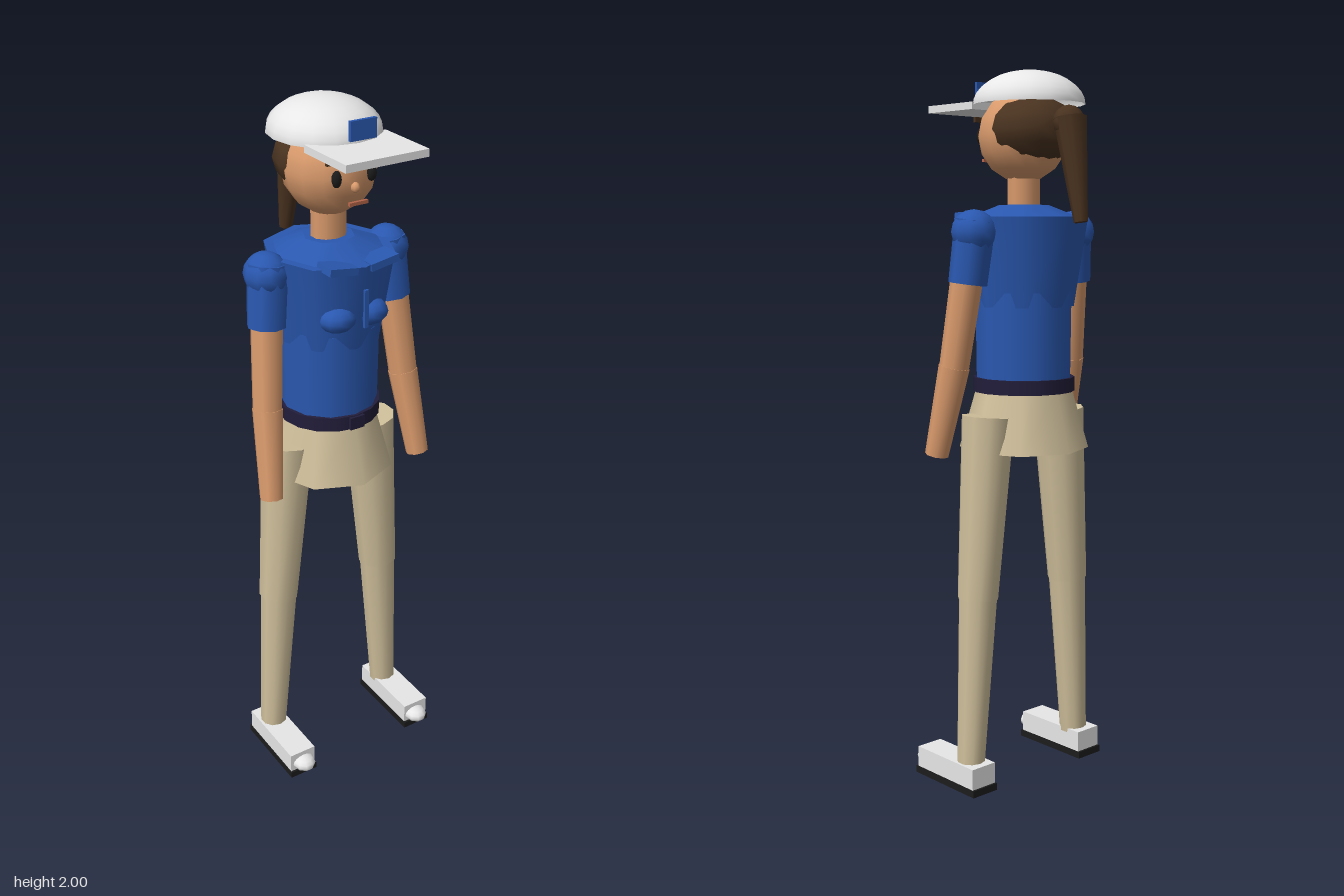
import * as THREE from 'three';

const mat = (name, color, side = THREE.FrontSide) => {
  const m = new THREE.MeshStandardMaterial({ color, side });
  m.name = name;
  return m;
};

export function createModel() {
  const white = mat('white', 0xececec, THREE.DoubleSide);
  const blue = mat('shirt blue', 0x2a58b0);
  const skin = mat('skin', 0xd99a6c);
  const khaki = mat('khaki', 0xcfbf9b);
  const hair = mat('hair brown', 0x4a3320);
  const navy = mat('belt navy', 0x221d3a);
  const black = mat('black', 0x1c1c1c);
  const lip = mat('lip', 0xb5654a);

  const model = new THREE.Group();
  model.name = 'capWearer';
  const Z = -0.013; // body axis depth

  const add = (name, geo, material, x, y, z) => {
    const mesh = new THREE.Mesh(geo, material);
    mesh.name = name;
    mesh.position.set(x, y, z);
    model.add(mesh);
    return mesh;
  };
  const box = (name, m, w, h, d, x, y, z) => add(name, new THREE.BoxGeometry(w, h, d), m, x, y, z);
  const ball = (name, m, rx, ry, rz, x, y, z, seg = 12) => {
    const b = add(name, new THREE.SphereGeometry(1, seg, 8), m, x, y, z);
    b.scale.set(rx, ry, rz);
    return b;
  };
  // upright tapered cylinder between two heights
  const drum = (name, m, rTop, rBottom, yBottom, yTop, seg = 8) =>
    add(name, new THREE.CylinderGeometry(rTop, rBottom, yTop - yBottom, seg), m, 0, (yTop + yBottom) / 2, Z);
  // tapered limb from point a (top) to point b (bottom)
  const limb = (name, m, a, b, ra, rb, seg = 8) => {
    const A = new THREE.Vector3(...a), B = new THREE.Vector3(...b);
    const mid = A.clone().add(B).multiplyScalar(0.5);
    const mesh = add(name, new THREE.CylinderGeometry(ra, rb, A.distanceTo(B), seg), m, mid.x, mid.y, mid.z);
    mesh.quaternion.setFromUnitVectors(new THREE.Vector3(0, 1, 0), A.sub(B).normalize());
    return mesh;
  };

  // trunk
  drum('hips', khaki, 0.133, 0.183, 0.96, 1.135);
  drum('belt', navy, 0.143, 0.143, 1.122, 1.162, 16);
  box('buckle', navy, 0.045, 0.036, 0.012, 0, 1.142, 0.13);
  drum('waist', blue, 0.138, 0.135, 1.14, 1.4, 12);
  drum('chest', blue, 0.178, 0.14, 1.36, 1.605);
  drum('shoulderYoke', blue, 0.07, 0.165, 1.6, 1.638);
  box('placket', blue, 0.012, 0.105, 0.008, 0, 1.492, 0.168);

  // head and neck
  drum('neck', skin, 0.05, 0.05, 1.6, 1.74, 10).scale.set(1, 1, 0.85);
  ball('head', skin, 0.126, 0.125, 0.126, 0, 1.825, -0.01, 14);
  ball('hairBack', hair, 0.129, 0.095, 0.128, 0, 1.838, -0.044);
  ball('nose', skin, 0.012, 0.014, 0.014, 0, 1.8, 0.112, 8);
  box('mouth', lip, 0.055, 0.009, 0.009, 0, 1.764, 0.126);

  // ponytail
  ball('hairTie', hair, 0.045, 0.045, 0.042, 0, 1.853, -0.188, 8);
  limb('ponytail', hair, [0, 1.865, -0.192], [0, 1.59, -0.235], 0.045, 0.019);

  // cap
  const dome = add('capDome', new THREE.SphereGeometry(1, 16, 8, 0, Math.PI * 2, 0, Math.PI / 2), white, 0, 1.908, -0.033);
  dome.scale.set(0.149, 0.092, 0.16);
  box('capVisor', white, 0.24, 0.02, 0.187, 0, 1.906, 0.16);
  box('capPatch', blue, 0.076, 0.05, 0.01, 0, 1.955, 0.143);

  // mirrored parts
  for (const s of [-1, 1]) {
    // face
    ball('eye', black, 0.014, 0.022, 0.012, s * 0.052, 1.828, 0.107, 8);
    box('eyebrow', hair, 0.052, 0.014, 0.01, s * 0.054, 1.872, 0.102);

    // shirt front
    ball('chestForm', blue, 0.052, 0.037, 0.045, s * 0.05, 1.453, 0.11, 10);
    box('collar', blue, 0.085, 0.02, 0.065, s * 0.062, 1.603, 0.13).rotation.z = s * 0.15;

    // arm
    ball('shoulder', blue, 0.06, 0.06, 0.064, s * 0.188, 1.565, -0.018, 10);
    limb('sleeve', blue, [s * 0.183, 1.595, -0.018], [s * 0.199, 1.425, -0.004], 0.056, 0.053);
    limb('upperArm', skin, [s * 0.197, 1.47, -0.005], [s * 0.222, 1.19, 0.03], 0.045, 0.041);
    limb('forearm', skin, [s * 0.221, 1.2, 0.029], [s * 0.244, 0.952, 0.08], 0.043, 0.033);

    // leg
    limb('thigh', khaki, [s * 0.135, 1.06, Z], [s * 0.176, 0.55, Z], 0.075, 0.058, 10);
    limb('shin', khaki, [s * 0.175, 0.56, Z], [s * 0.205, 0.07, Z], 0.055, 0.04, 10);

    // shoe
    box('sole', black, 0.088, 0.02, 0.255, s * 0.209, 0.01, 0.048);
    box('shoe', white, 0.083, 0.06, 0.242, s * 0.209, 0.05, 0.048);
    ball('toeCap', white, 0.035, 0.024, 0.042, s * 0.207, 0.042, 0.168, 10);
  }
  return model;
}
